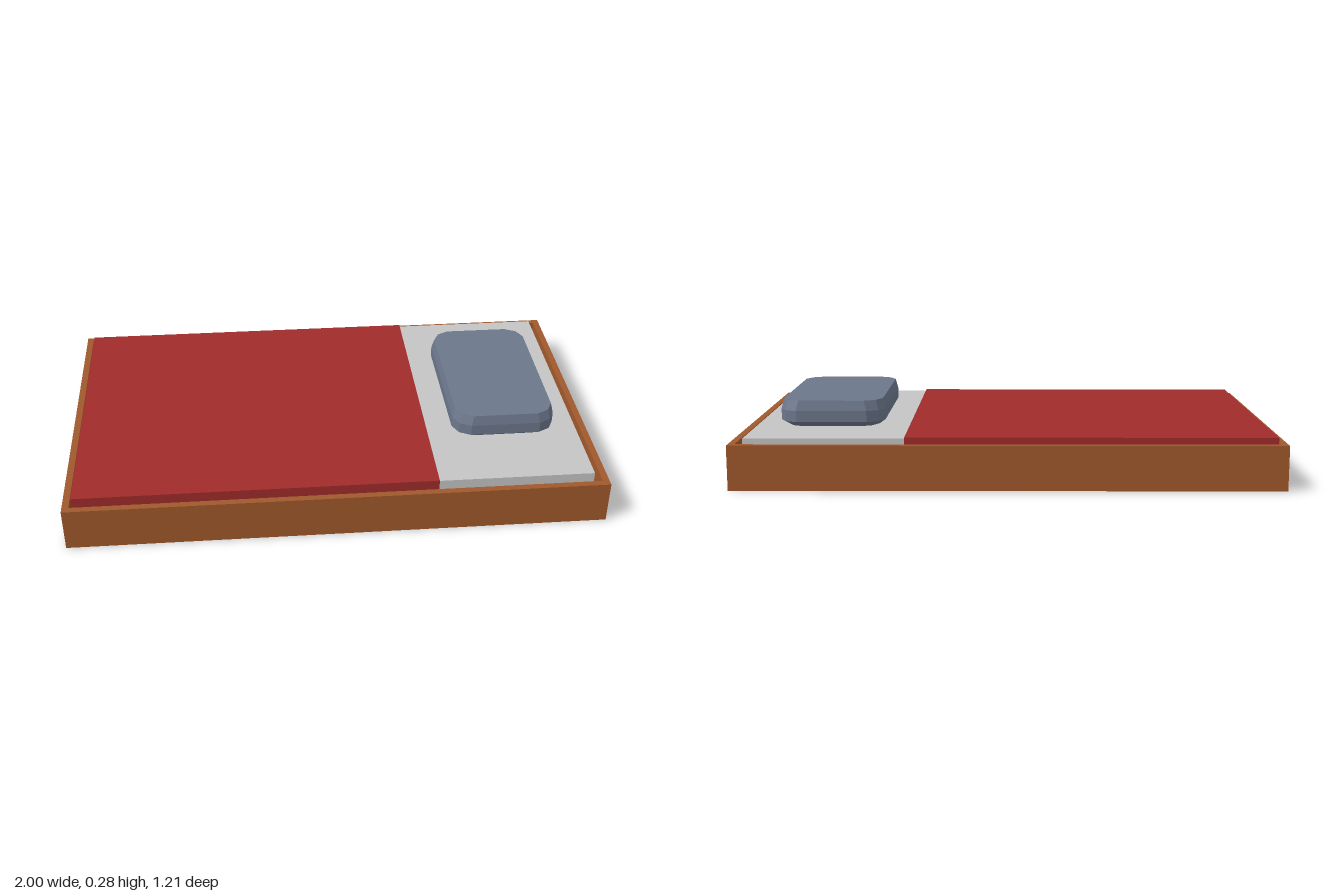
import * as THREE from 'three';

const material = (name, color) => {
  const m = new THREE.MeshStandardMaterial({ color });
  m.name = name;
  return m;
};

// Box given by its minimum and maximum corners
function block(name, mat, [x0, y0, z0], [x1, y1, z1]) {
  const mesh = new THREE.Mesh(new THREE.BoxGeometry(x1 - x0, y1 - y0, z1 - z0), mat);
  mesh.position.set((x0 + x1) / 2, (y0 + y1) / 2, (z0 + z1) / 2);
  mesh.name = name;
  return mesh;
}

// Rectangle outline with two-step chamfered corners, in the xz plane
function outline(hx, hz, y) {
  const corner = [[0, 0.065], [0.022, 0.022], [0.065, 0]];
  const pts = [];
  for (const [sx, sz] of [[1, 1], [-1, 1], [-1, -1], [1, -1]]) {
    const steps = sx * sz > 0 ? corner : [...corner].reverse();
    for (const [dx, dz] of steps) pts.push([sx * (hx - dx), y, sz * (hz - dz)]);
  }
  return pts;
}

// Closed faceted solid lofted through stacked outlines, bottom to top
function loft(rings) {
  const n = rings[0].length;
  const index = [];
  for (let r = 0; r < rings.length - 1; r++) {
    for (let i = 0; i < n; i++) {
      const a = r * n + i, b = r * n + (i + 1) % n;
      index.push(a, a + n, b, b, a + n, b + n);
    }
  }
  const top = (rings.length - 1) * n;
  for (let i = 1; i < n - 1; i++) {
    index.push(0, i, i + 1);
    index.push(top, top + i + 1, top + i);
  }
  const g = new THREE.BufferGeometry();
  g.setAttribute('position', new THREE.Float32BufferAttribute(rings.flat(2), 3));
  g.setIndex(index);
  const flat = g.toNonIndexed();
  flat.computeVertexNormals();
  return flat;
}

export function createModel() {
  const wood = material('wood', 0xa0582b);
  const sheet = material('sheet', 0xc4c4c4);
  const red = material('red blanket', 0xa02b2b);
  const slate = material('slate pillow', 0x6c778b);

  const bed = new THREE.Group();
  bed.name = 'bed';

  // Shallow tray frame
  const frame = new THREE.Group();
  frame.name = 'frame';
  const H = 0.165, X = 1, Z = 0.605, T = 0.025;
  frame.add(block('frameFloor', wood, [-X, 0, -Z], [X, 0.02, Z]));
  for (const s of [-1, 1]) {
    const side = s > 0 ? 'Left' : 'Right';
    const end = s > 0 ? 'Front' : 'Back';
    frame.add(block('frame' + side, wood,
      [s > 0 ? X - T : -X, 0.02, -Z], [s > 0 ? X : T - X, H, Z]));
    frame.add(block('frame' + end, wood,
      [T - X, 0.02, s > 0 ? Z - T : -Z], [X - T, H, s > 0 ? Z : T - Z]));
  }
  bed.add(frame);

  // Mattress, with the blanket wrapped over its foot end
  bed.add(block('mattress', sheet, [-0.95, 0.02, -0.567], [0.95, 0.183, 0.555]));
  bed.add(block('blanket', red, [-0.968, 0.022, -0.572], [0.37, 0.188, 0.56]));

  // Pillow
  const pillow = new THREE.Mesh(loft([
    outline(0.172, 0.302, 0.183),
    outline(0.197, 0.327, 0.203),
    outline(0.197, 0.327, 0.245),
    outline(0.188, 0.318, 0.283),
  ]), slate);
  pillow.position.set(0.663, 0, -0.022);
  pillow.name = 'pillow';
  bed.add(pillow);

  return bed;
}
